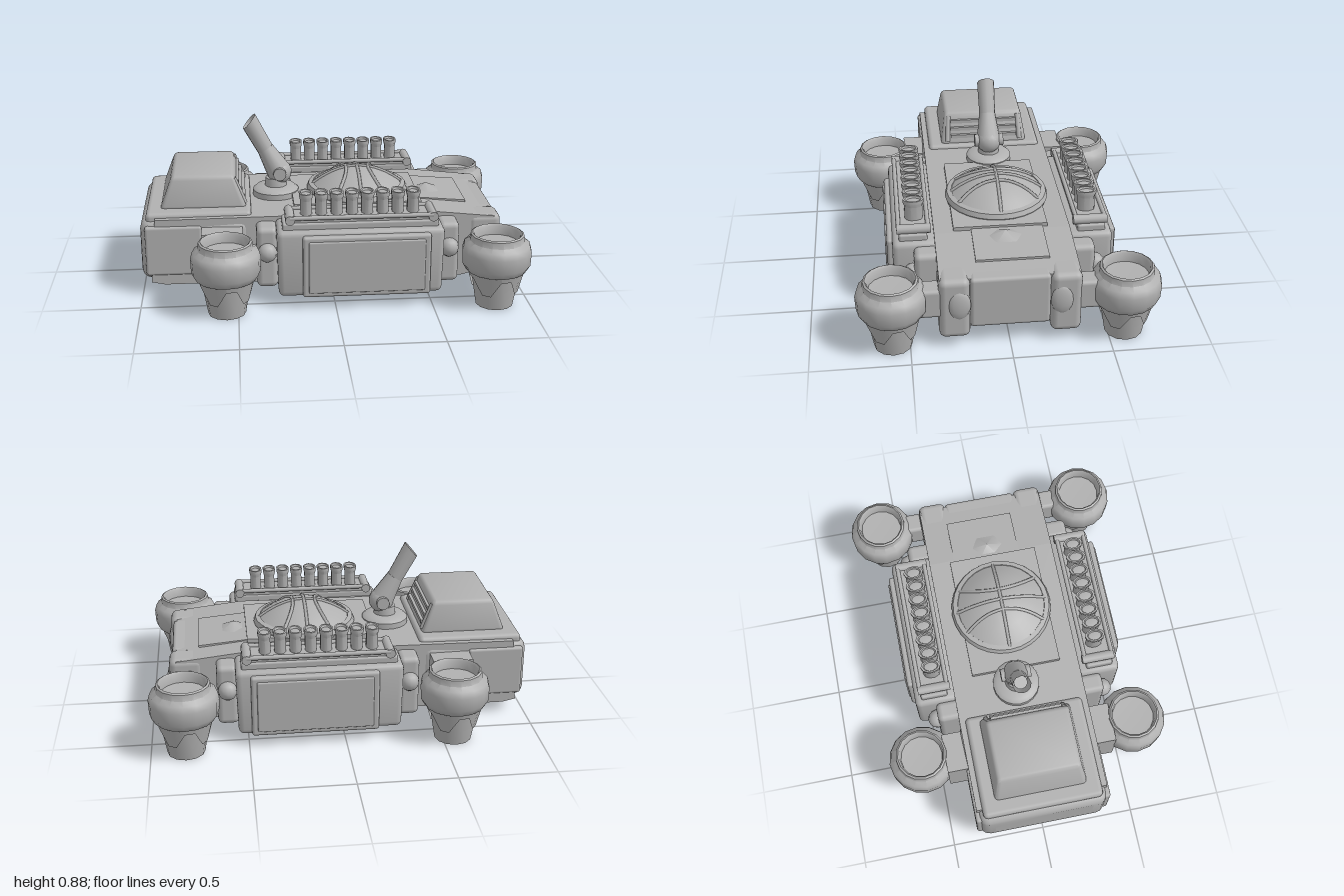
import * as THREE from 'three';
import { RoundedBoxGeometry } from 'three/addons/geometries/RoundedBoxGeometry.js';
import { toCreasedNormals } from 'three/addons/utils/BufferGeometryUtils.js';

const V = (x, y, z) => new THREE.Vector3(x, y, z);

export function createModel() {
  const model = new THREE.Group();
  model.name = 'hoverVehicle';
  const grey = new THREE.MeshStandardMaterial({ color: 0xb0b0b0, side: THREE.DoubleSide });
  grey.name = 'grey';

  const add = (name, geo, parent = model) => {
    const m = new THREE.Mesh(geo, grey);
    m.name = name;
    parent.add(m);
    return m;
  };
  // Box given by its extents, with rounded edges; warp may move its vertices
  const box = (name, [x0, x1], [y0, y1], [z0, z1], r = 0, parent = model, warp = null) => {
    const size = [x1 - x0, y1 - y0, z1 - z0];
    let geo = r ? new RoundedBoxGeometry(...size, 2, r) : new THREE.BoxGeometry(...size);
    geo.translate((x0 + x1) / 2, (y0 + y1) / 2, (z0 + z1) / 2);
    if (warp) {
      const p = geo.attributes.position, v = V(0, 0, 0);
      for (let i = 0; i < p.count; i++) {
        v.fromBufferAttribute(p, i);
        warp(v);
        p.setXYZ(i, v.x, v.y, v.z);
      }
      geo = toCreasedNormals(geo, 0.6);
    }
    return add(name, geo, parent);
  };
  const lathe = (name, pts, seg, parent = model, crease = 0.7) =>
    add(name, toCreasedNormals(new THREE.LatheGeometry(pts.map(p => new THREE.Vector2(...p)), seg), crease), parent);
  const rod = (name, a, b, r0, r1, parent = model, open = false) => {
    const m = add(name, new THREE.CylinderGeometry(r1, r0, a.distanceTo(b), 12, 1, open), parent);
    m.position.copy(a).lerp(b, 0.5);
    m.quaternion.setFromUnitVectors(V(0, 1, 0), b.clone().sub(a).normalize());
    return m;
  };

  // Hull: side profile swept across the width
  const profile = new THREE.Shape([[-0.95, 0.075], [-0.88, 0.06], [0.7, 0.06], [0.86, 0.11], [0.86, 0.39], [0.5, 0.43], [-0.92, 0.42]]
    .map(p => new THREE.Vector2(...p)));
  const hull = new THREE.ExtrudeGeometry(profile, { depth: 0.7, bevelEnabled: false });
  add('hull', hull.translate(0, 0, -0.35));

  // Nose with its two rounded corner pillars and round lamps
  box('nosePanel', [0.7, 0.88], [0.11, 0.395], [-0.2, 0.2], 0.02);
  for (const s of [-1, 1]) {
    box('nosePillar', [0.72, 0.895], [0.06, 0.4], s > 0 ? [0.2, 0.355] : [-0.355, -0.2], 0.035);
    const lamp = add('noseLamp', new THREE.SphereGeometry(1, 12, 8));
    lamp.scale.set(0.025, 0.085, 0.058);
    lamp.position.set(0.885, 0.255, s * 0.255);
  }

  // Cab at the left end, with cabin and louvres
  box('cab', [-1, -0.43], [0.085, 0.41], [-0.36, 0.36], 0.05, model, v => {
    const t = Math.max(0, (-0.8 - v.x) / 0.2);
    v.z *= 1 - 0.06 * t;
  });
  box('cabShelf', [-0.97, -0.42], [0.38, 0.445], [-0.32, 0.32], 0.025);
  for (const s of [-1, 1])
    box('cabSidePanel', [-0.975, -0.68], [0.115, 0.385], s > 0 ? [0.32, 0.362] : [-0.362, -0.32], 0.015);
  box('cabEndPanel', [-1.0, -0.96], [0.13, 0.37], [-0.28, 0.28], 0.015);
  box('cabin', [-0.9, -0.44], [0.43, 0.613], [-0.25, 0.25], 0.025, model, v => {
    const t = (v.y - 0.43) / 0.183;
    v.x = -0.67 + (v.x + 0.67) * (1 - 0.3 * t);
    v.z *= 1 - 0.12 * t;
  });
  for (let i = 0; i < 3; i++)
    box('louvre', [-0.51 - 0.016 * i, -0.448 - 0.016 * i], [0.475 + i * 0.04, 0.495 + i * 0.04], [-0.19, 0.19]);
  for (const s of [-1, 1])
    rod('louvreFrame', V(-0.452, 0.455, s * 0.21), V(-0.508, 0.59, s * 0.2), 0.014, 0.014);

  // Deck plate, ramp plate and small hatch
  box('deckPlate', [-0.195, 0.485], [0.42, 0.45], [-0.235, 0.25]);
  box('rampPlate', [0.485, 0.74], [0.41, 0.423], [-0.21, 0.16], 0, model, v => { v.y += 0.09 * (0.65 - v.x); });
  const hatch = add('hatch', new THREE.ConeGeometry(0.095, 0.035, 6));
  hatch.position.set(0.55, 0.445, -0.01);
  hatch.scale.x = 0.75;

  // Round dome with a ring and curved ribs
  const dome = new THREE.Group();
  dome.name = 'dome';
  dome.position.set(0.165, 0, -0.005);
  model.add(dome);
  const R = 0.25, capY = (x, z) => 0.472 + 0.1 * (1 - (x * x + z * z) / (R * R));
  lathe('domeCap', [0.25, 0.2, 0.15, 0.1, 0.05, 0].map(r => [r, capY(r, 0)]), 28, dome);
  lathe('domeRing', [[0.24, 0.43], [0.265, 0.43], [0.275, 0.455], [0.265, 0.48], [0.24, 0.485], [0.235, 0.47]], 28, dome);
  const rib = f => {
    const pts = [];
    for (let i = -5; i <= 5; i++) {
      const [x, z] = f(i / 5);
      pts.push(V(x, capY(x, z) + 0.002, z));
    }
    add('domeRib', new THREE.TubeGeometry(new THREE.CatmullRomCurve3(pts), 16, 0.009, 6), dome);
  };
  rib(t => [t * 0.245, 0]);
  rib(t => [0, t * 0.245]);
  for (const s of [-1, 1]) rib(t => [s * (0.06 + 0.065 * t * t), t * 0.21]);

  // Swivelling cannon
  const cannon = new THREE.Group();
  cannon.name = 'cannon';
  cannon.position.set(-0.28, 0, -0.01);
  model.add(cannon);
  lathe('cannonBase', [[0.125, 0.42], [0.125, 0.455], [0.105, 0.472], [0.06, 0.476], [0.055, 0.52], [0, 0.53]], 20, cannon);
  const ball = add('cannonBall', new THREE.SphereGeometry(0.068, 16, 10), cannon);
  ball.position.set(0.02, 0.55, 0);
  rod('cannonPivot', V(0.02, 0.555, -0.08), V(0.02, 0.555, 0.08), 0.035, 0.035, cannon);
  rod('barrelRoot', V(0.02, 0.55, 0), V(-0.055, 0.685, 0), 0.068, 0.045, cannon);
  const barrel = rod('barrel', V(-0.035, 0.645, 0), V(-0.138, 0.837, 0), 0.044, 0.048, cannon, true);
  // Slanted muzzle
  const bp = barrel.geometry.attributes.position;
  for (let i = 0; i < bp.count; i++)
    if (bp.getY(i) > 0) bp.setY(i, bp.getY(i) + 0.4 * bp.getX(i));
  rod('barrelCore', V(-0.035, 0.645, 0), V(-0.105, 0.775, 0), 0.036, 0.036, cannon);

  // Everything along one long side, built for both sides
  for (const s of [-1, 1]) {
    const side = new THREE.Group();
    side.name = s > 0 ? 'frontSide' : 'backSide';
    model.add(side);
    const zr = (a, b) => s > 0 ? [a, b] : [-b, -a];

    // Side pod with raised panel
    box('pod', [-0.3, 0.56], [0.06, 0.415], zr(0.33, 0.565), 0.03, side, v => {
      const t = (v.y - 0.06) / 0.355;
      v.x = 0.13 + (v.x - 0.13) * (0.98 + 0.02 * t);
    });
    box('podPanel', [-0.17, 0.485], [0.065, 0.395], zr(0.53, 0.592), 0.015, side);
    box('podPanelFace', [-0.14, 0.455], [0.09, 0.37], zr(0.57, 0.6), 0.008, side);

    // Launcher tray with end rods and a row of flared tubes
    box('tray', [-0.27, 0.53], [0.405, 0.45], zr(0.385, 0.53), 0.012, side);
    box('trayTop', [-0.24, 0.51], [0.44, 0.475], zr(0.39, 0.52), 0, side);
    for (const x of [-0.23, 0.5])
      rod('trayEndRod', V(x, 0.468, s * 0.365), V(x, 0.468, s * 0.54), 0.025, 0.025, side);
    for (const z of [0.38, 0.53])
      rod('trayRail', V(-0.23, 0.478, s * z), V(0.5, 0.478, s * z), 0.012, 0.012, side);
    for (let i = 0; i < 8; i++) {
      const tube = lathe('launchTube', [[0.046, 0.45], [0.046, 0.55], [0.054, 0.57], [0.054, 0.588], [0.042, 0.588], [0.036, 0.578], [0, 0.582]], 10, side);
      tube.scale.x = 0.67;
      tube.position.set(-0.145 + i * 0.0786, 0, s * 0.447);
    }

    // Joint blocks with ball caps at both pod ends
    for (const x of [-0.345, 0.6]) {
      box('jointBlock', [x - 0.055, x + 0.055], [0.07, 0.4], zr(0.3, 0.46), 0.03, side);
      const cap = add('jointBall', new THREE.SphereGeometry(0.05, 12, 8), side);
      cap.position.set(x, 0.27, s * 0.465);
    }

    // Thruster arms and thrusters
    box('thrusterArm', [-0.68, -0.47], [0.1, 0.375], zr(0.3, 0.46), 0, side);
    box('thrusterArm', [0.77, 0.88], [0.18, 0.34], zr(0.3, 0.47), 0.02, side);
    for (const x of [-0.558, 0.822]) {
      const pod = new THREE.Group();
      pod.name = 'thruster';
      pod.position.set(x, 0, s * 0.584);
      side.add(pod);
      lathe('thrusterBody', [[0.13, 0.185], [0.155, 0.195], [0.175, 0.23], [0.178, 0.3], [0.168, 0.335], [0.14, 0.352],
        [0.136, 0.385], [0.126, 0.391], [0.117, 0.38], [0.112, 0.335], [0, 0.33]], 16, pod, 0.9);
      lathe('nozzle', [[0, 0.05], [0.07, 0.045], [0.088, 0], [0.096, 0], [0.13, 0.2]], 12, pod);
      // Ragged skirt of petals around the nozzle
      const skirt = new THREE.CylinderGeometry(0.15, 0.118, 0.13, 16, 1, true);
      const p = skirt.attributes.position;
      for (let i = 0; i < p.count; i++)
        if (p.getY(i) < 0 && (i % 17) % 4 < 2) p.setXYZ(i, p.getX(i) * 1.16, 0.02, p.getZ(i) * 1.16);
      skirt.computeVertexNormals();
      add('nozzleSkirt', skirt.translate(0, 0.145, 0), pod);
    }
  }
  return model;
}
